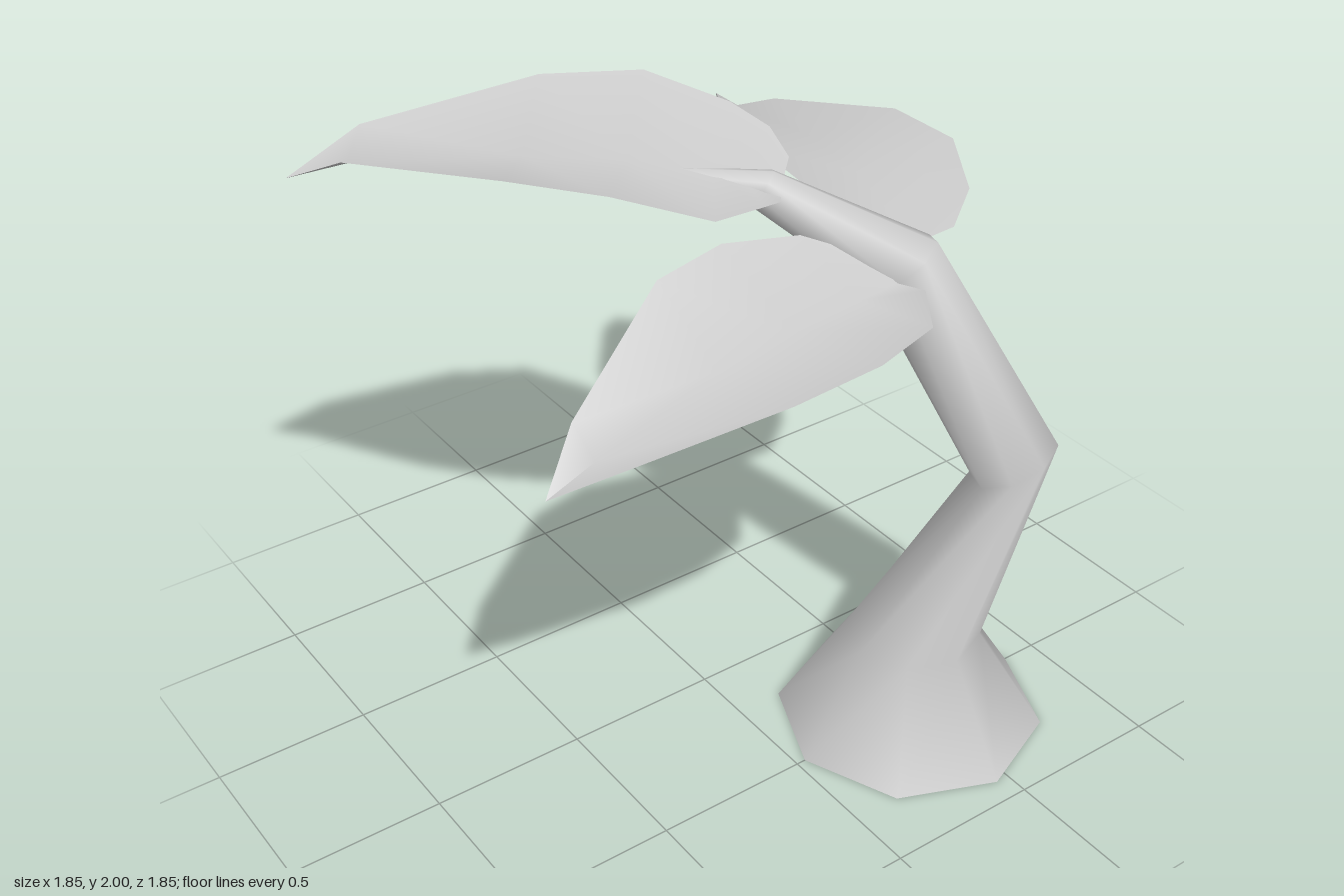
import * as THREE from 'three';

const material = new THREE.MeshStandardMaterial({ color: 0xcccccc, side: THREE.DoubleSide });

// Skin a grid of cross-sections (arrays of Vector3) with smooth normals
function loft(name, rows, closed) {
  const n = rows[0].length;
  const index = [];
  for (let i = 0; i < rows.length - 1; i++) {
    for (let j = 0; j < (closed ? n : n - 1); j++) {
      const a = i * n + j, b = i * n + (j + 1) % n;
      index.push(a, b, b + n, a, b + n, a + n);
    }
  }
  const geometry = new THREE.BufferGeometry().setFromPoints(rows.flat());
  geometry.setIndex(index);
  geometry.computeVertexNormals();
  const mesh = new THREE.Mesh(geometry, material);
  mesh.name = name;
  return mesh;
}

// Eight-sided trunk ring, leaning diagonally toward -x +z
const leanAxis = new THREE.Vector3(1, 0, 1).normalize();
function ring([x, y, z, radius, lean]) {
  return Array.from({ length: 8 }, (_, k) => {
    const t = k * Math.PI / 4;
    return new THREE.Vector3(radius * Math.cos(t), 0, -radius * Math.sin(t))
      .applyAxisAngle(leanAxis, THREE.MathUtils.degToRad(lean))
      .add(new THREE.Vector3(x, y, z));
  });
}

// Leaf stations from tip to base: [left edge, midrib, right edge]
function leaf(name, tip, stations) {
  const rows = [[tip, tip, tip], ...stations];
  return loft(name, rows.map(r => r.map(p => new THREE.Vector3(...p))), false);
}

export function createModel() {
  const group = new THREE.Group();
  group.name = 'palmTree';

  // Bent trunk: x, y, z, radius, lean in degrees; open at the foot
  const trunk = [
    [0.5, 0, -0.455, 0.425, 0],
    [0.5, 0.34, -0.45, 0.21, 0],
    [0.70, 1.02, -0.62, 0.139, 28],
    [0.425, 1.63, -0.38, 0.122, 38],
    [0.14, 1.83, -0.10, 0.062, 62],
    [-0.30, 1.866, 0.365, 0.001, 80],
  ];
  group.add(loft('trunk', trunk.map(ring), true));

  // Leaf toward the back right
  group.add(leaf('backLeaf', [-0.92, 1.52, -0.72], [
    [[-0.735, 1.60, -0.81], [-0.76, 1.585, -0.70], [-0.775, 1.66, -0.60]],
    [[-0.265, 1.705, -0.93], [-0.32, 1.665, -0.64], [-0.385, 1.795, -0.36]],
    [[0.015, 1.71, -0.925], [-0.05, 1.665, -0.60], [-0.095, 1.82, -0.26]],
    [[0.255, 1.68, -0.78], [0.20, 1.645, -0.53], [0.155, 1.79, -0.255]],
    [[0.37, 1.65, -0.62], [0.36, 1.635, -0.48], [0.31, 1.70, -0.34]],
  ]));

  // Leaf beyond the trunk's tip
  group.add(leaf('topLeaf', [-0.77, 1.79, 0.92], [
    [[-0.725, 1.915, 0.695], [-0.65, 1.845, 0.78], [-0.55, 1.905, 0.845]],
    [[-0.56, 2.0, 0.19], [-0.32, 1.89, 0.40], [-0.065, 1.975, 0.61]],
    [[-0.41, 2.0, -0.075], [-0.13, 1.89, 0.17], [0.16, 1.965, 0.42]],
    [[-0.18, 1.945, -0.22], [0.04, 1.87, 0], [0.295, 1.875, 0.175]],
    [[-0.055, 1.90, -0.27], [0.11, 1.85, -0.07], [0.295, 1.87, 0.015]],
    [[0.07, 1.86, -0.245], [0.17, 1.83, -0.14], [0.25, 1.84, -0.08]],
  ]));

  // Leaf toward the front
  group.add(leaf('frontLeaf', [0.59, 1.44, 0.91], [
    [[0.50, 1.575, 0.77], [0.59, 1.50, 0.76], [0.70, 1.525, 0.735]],
    [[0.31, 1.77, 0.375], [0.56, 1.61, 0.365], [0.855, 1.645, 0.335]],
    [[0.275, 1.79, 0.14], [0.55, 1.635, 0.11], [0.875, 1.68, 0.07]],
    [[0.30, 1.75, -0.11], [0.53, 1.64, -0.14], [0.80, 1.675, -0.165]],
    [[0.41, 1.69, -0.26], [0.51, 1.635, -0.29], [0.625, 1.665, -0.29]],
  ]));

  return group;
}
